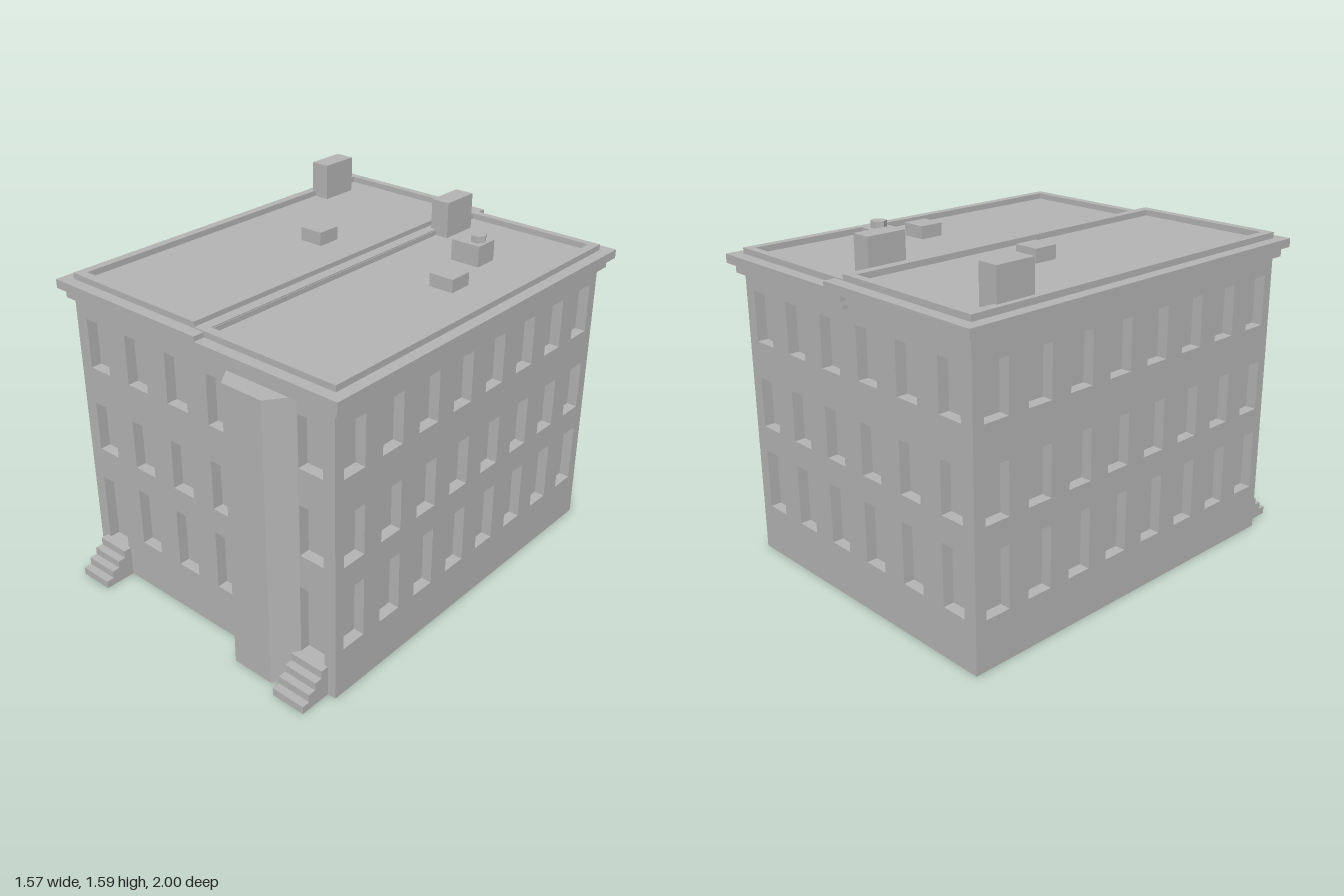
import * as THREE from 'three';
import { mergeGeometries } from 'three/addons/utils/BufferGeometryUtils.js';

const stone = new THREE.MeshStandardMaterial({ color: 0xb4b4b4, side: THREE.DoubleSide });
stone.name = 'grey stone';

const FRONT = 0.85, BACK = -0.945, HALF = 0.73, MID_Z = (FRONT + BACK) / 2;
const RECESS = 0.05;

function add(parent, name, geometry) {
  const mesh = new THREE.Mesh(geometry, stone);
  mesh.name = name;
  parent.add(mesh);
  return mesh;
}

// Box given by its limits on each axis
function block(parent, name, x0, x1, y0, y1, z0, z1) {
  const g = new THREE.BoxGeometry(x1 - x0, y1 - y0, z1 - z0);
  g.translate((x0 + x1) / 2, (y0 + y1) / 2, (z0 + z1) / 2);
  return add(parent, name, g);
}

function rect(target, x0, x1, y0, y1) {
  target.moveTo(x0, y0);
  target.lineTo(x1, y0);
  target.lineTo(x1, y1);
  target.lineTo(x0, y1);
  target.closePath();
  return target;
}

// Four reveals and a back pane for one recessed opening
function niche([x0, x1, y0, y1]) {
  const w = x1 - x0, h = y1 - y0, cx = (x0 + x1) / 2, cy = (y0 + y1) / 2, d = RECESS;
  return [
    new THREE.PlaneGeometry(w, h).translate(cx, cy, -d),
    new THREE.PlaneGeometry(d, h).rotateY(Math.PI / 2).translate(x0, cy, -d / 2),
    new THREE.PlaneGeometry(d, h).rotateY(-Math.PI / 2).translate(x1, cy, -d / 2),
    new THREE.PlaneGeometry(w, d).rotateX(-Math.PI / 2).translate(cx, y0, -d / 2),
    new THREE.PlaneGeometry(w, d).rotateX(Math.PI / 2).translate(cx, y1, -d / 2),
  ];
}

// Thin wall sheet with openings, plus the recessed windows behind them
function wall(parent, name, width, openings, x, z, turn) {
  const shape = rect(new THREE.Shape(), -width / 2, width / 2, 0, 1.34);
  for (const [x0, x1, y0, y1] of openings) shape.holes.push(rect(new THREE.Path(), x0, x1, y0, y1));
  const group = new THREE.Group();
  group.name = name;
  group.position.set(x, 0, z);
  group.rotation.y = turn;
  add(group, name + 'Sheet', new THREE.ShapeGeometry(shape));
  add(group, name + 'Windows', mergeGeometries(openings.flatMap(niche)));
  parent.add(group);
}

// Window rows; the house on the -x side has its top row a little higher
const rows = (high) => [[0.225, 0.505], [0.622, 0.855], high ? [1.03, 1.26] : [1.02, 1.25]];
const column = (c, high) => rows(high).map(([y0, y1]) => [c - 0.061, c + 0.061, y0, y1]);

// Cornice tiers, roof and parapet of one of the two joined houses
function roof(parent, name, x0, x1, inner0, inner1, y) {
  const group = new THREE.Group();
  group.name = name;
  block(group, 'lowerCornice', x0 - 0.027, x1 + 0.027, y, y + 0.043, BACK - 0.027, FRONT + 0.022);
  block(group, 'upperCornice', x0 - 0.053, x1 + 0.053, y + 0.043, y + 0.083, BACK - 0.055, FRONT + 0.047);
  const ring = rect(new THREE.Shape(), x0, x1, -0.845, -BACK);
  ring.holes.push(rect(new THREE.Path(), inner0, inner1, -0.803, 0.91));
  const g = new THREE.ExtrudeGeometry(ring, { depth: 0.03, bevelEnabled: false });
  g.rotateX(-Math.PI / 2).translate(0, y + 0.08, 0);
  add(group, 'parapet', g);
  parent.add(group);
}

export function createModel() {
  const model = new THREE.Group();
  model.name = 'townhouses';

  // Front wall: a door at each end, windows between, plain behind the bay
  const columns = [-0.605, -0.36, -0.116, 0.126, 0.37, 0.61];
  const front = [
    ...column(columns[0], true).slice(1), [-0.67, -0.54, 0.14, 0.47],
    ...column(columns[1], true), ...column(columns[2], true), ...column(columns[3], false),
    ...column(columns[5], false).slice(1), [0.542, 0.672, 0.14, 0.47],
  ];
  wall(model, 'frontWall', 2 * HALF, front, 0, FRONT, 0);

  // Back wall, turned round so its local x is mirrored
  const back = columns.flatMap((c) => column(-c, c < 0));
  wall(model, 'backWall', 2 * HALF, back, 0, BACK, Math.PI);

  // Side walls with eight columns each
  const sideZ = Array.from({ length: 8 }, (_, i) => 0.74 - i * 0.2243 - MID_Z);
  const depth = FRONT - BACK;
  wall(model, 'leftWall', depth, sideZ.flatMap((z) => column(-z, false)), HALF, MID_Z, Math.PI / 2);
  wall(model, 'rightWall', depth, sideZ.flatMap((z) => column(z, true)), -HALF, MID_Z, -Math.PI / 2);

  // Full-height angled bay
  const plan = new THREE.Shape();
  plan.moveTo(0.19, -0.85);
  plan.lineTo(0.265, -0.955);
  plan.lineTo(0.47, -0.955);
  plan.lineTo(0.545, -0.85);
  plan.closePath();
  const bay = new THREE.ExtrudeGeometry(plan, { depth: 1.32, bevelEnabled: false });
  add(model, 'frontBay', bay.rotateX(-Math.PI / 2));

  // Roofs
  roof(model, 'rightHouseRoof', -HALF, 0.01, -0.69, -0.033, 1.34);
  roof(model, 'leftHouseRoof', 0.01, HALF, 0.06, 0.69, 1.318);

  // Entrance steps
  for (const side of [-1, 1]) {
    const steps = new THREE.Group();
    steps.name = side < 0 ? 'rightSteps' : 'leftSteps';
    const cx = side * 0.6075;
    for (let i = 0; i < 4; i++) {
      block(steps, 'step', cx - 0.0825, cx + 0.0825, i * 0.036, (i + 1) * 0.036, FRONT, 1 - i * 0.0375);
    }
    model.add(steps);
  }

  // Chimneys, hatches and vent
  block(model, 'rightChimney', -0.705, -0.612, 1.40, 1.592, -0.802, -0.615);
  block(model, 'middleChimney', 0.034, 0.126, 1.38, 1.568, -0.802, -0.615);
  block(model, 'rightHatch', -0.322, -0.205, 1.41, 1.485, -0.23, -0.115);
  block(model, 'leftHatch', 0.404, 0.522, 1.39, 1.46, -0.23, -0.115);
  block(model, 'ventBase', 0.296, 0.44, 1.39, 1.496, -0.53, -0.415);
  const vent = new THREE.CylinderGeometry(0.036, 0.036, 0.035, 6).toNonIndexed();
  vent.computeVertexNormals();
  vent.rotateY(Math.PI / 2).translate(0.396, 1.5095, -0.473);
  add(model, 'ventPipe', vent);

  return model;
}
